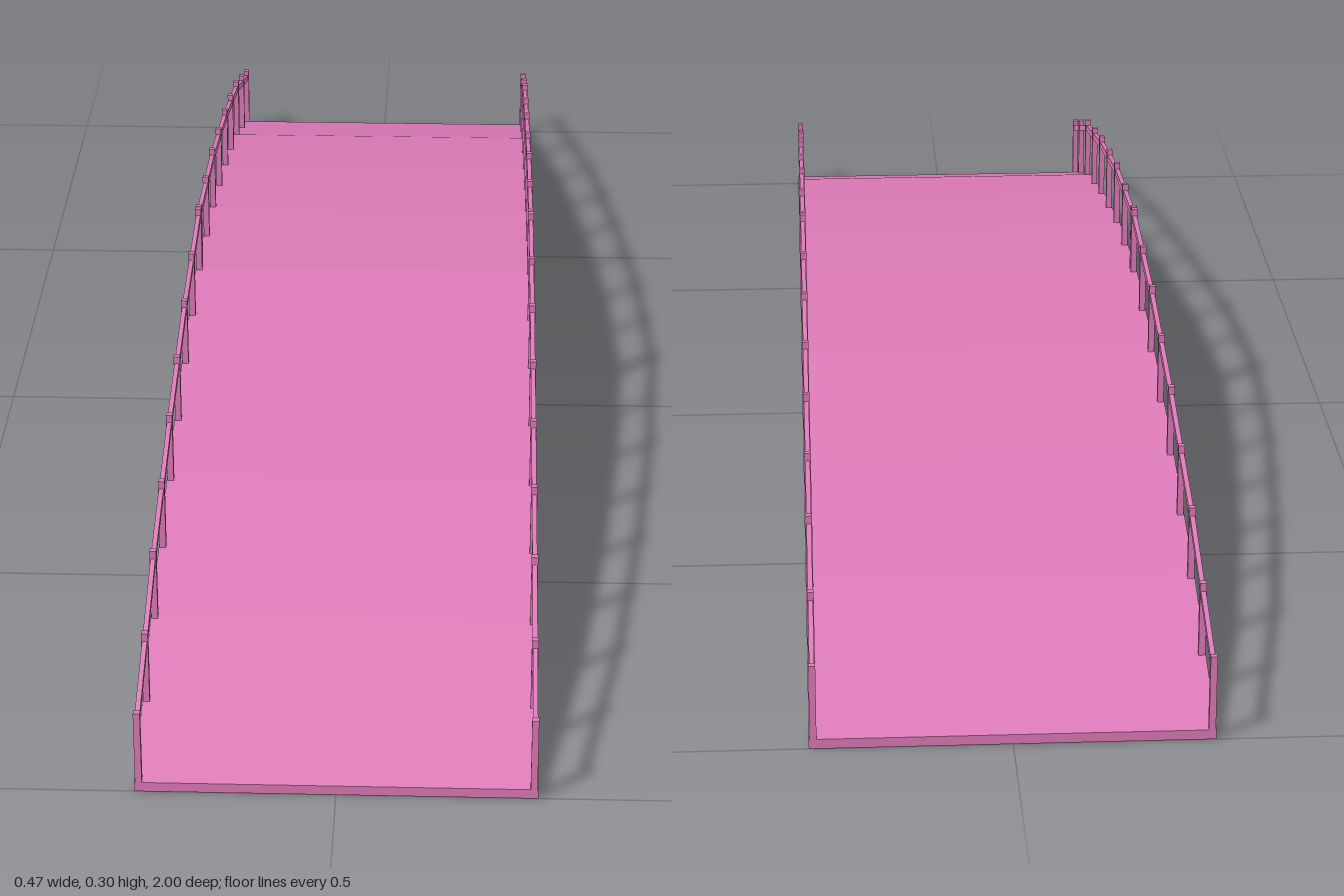
import * as THREE from 'three';

const material = new THREE.MeshStandardMaterial({ color: 0xdd7ab8, flatShading: true });

// Half of the deck's top line, from the crown to the foot: [z, y]
const HALF = [[0, 0.208], [0.25, 0.188], [0.5, 0.147], [0.75, 0.093], [1, 0.012]];
const LINE = [...HALF.slice(1).reverse().map(([z, y]) => [-z, y]), ...HALF];

// Height of the deck's top at a given z
function deckY(z) {
  const a = Math.min(Math.abs(z), 1);
  const i = Math.min(Math.floor(a / 0.25), 3);
  return THREE.MathUtils.lerp(HALF[i][1], HALF[i + 1][1], (a - HALF[i][0]) / 0.25);
}

// Faceted arched strip following the deck line, between two height offsets
function archStrip(name, width, bottom, top, x) {
  const shape = new THREE.Shape([
    ...LINE.map(([z, y]) => new THREE.Vector2(-z, y + top)),
    ...LINE.slice().reverse().map(([z, y]) => new THREE.Vector2(-z, y + bottom)),
  ]);
  const geometry = new THREE.ExtrudeGeometry(shape, { depth: width, bevelEnabled: false });
  geometry.translate(0, 0, -width / 2);
  geometry.rotateY(Math.PI / 2); // extrusion runs along x, profile along z
  const mesh = new THREE.Mesh(geometry, material);
  mesh.name = name;
  mesh.position.x = x;
  return mesh;
}

export function createModel() {
  const model = new THREE.Group();
  model.name = 'archedFootbridge';

  model.add(archStrip('deck', 0.47, -0.012, 0, 0));

  // Railings: one handrail and two mirrored runs of posts on each side
  const postGeometry = new THREE.BoxGeometry(0.008, 0.096, 0.008);
  for (const side of [-1, 1]) {
    const railing = new THREE.Group();
    railing.name = side > 0 ? 'leftRailing' : 'rightRailing';
    railing.add(archStrip('handrail', 0.006, 0.074, 0.083, side * 0.23));
    for (const end of [-1, 1]) {
      for (let k = 0; k <= 8; k++) {
        const z = end * Math.min(0.005 + 0.125 * k, 0.996);
        const post = new THREE.Mesh(postGeometry, material);
        post.name = 'post';
        post.position.set(side * 0.23, deckY(z) + 0.044, z);
        railing.add(post);
      }
    }
    model.add(railing);
  }
  return model;
}
